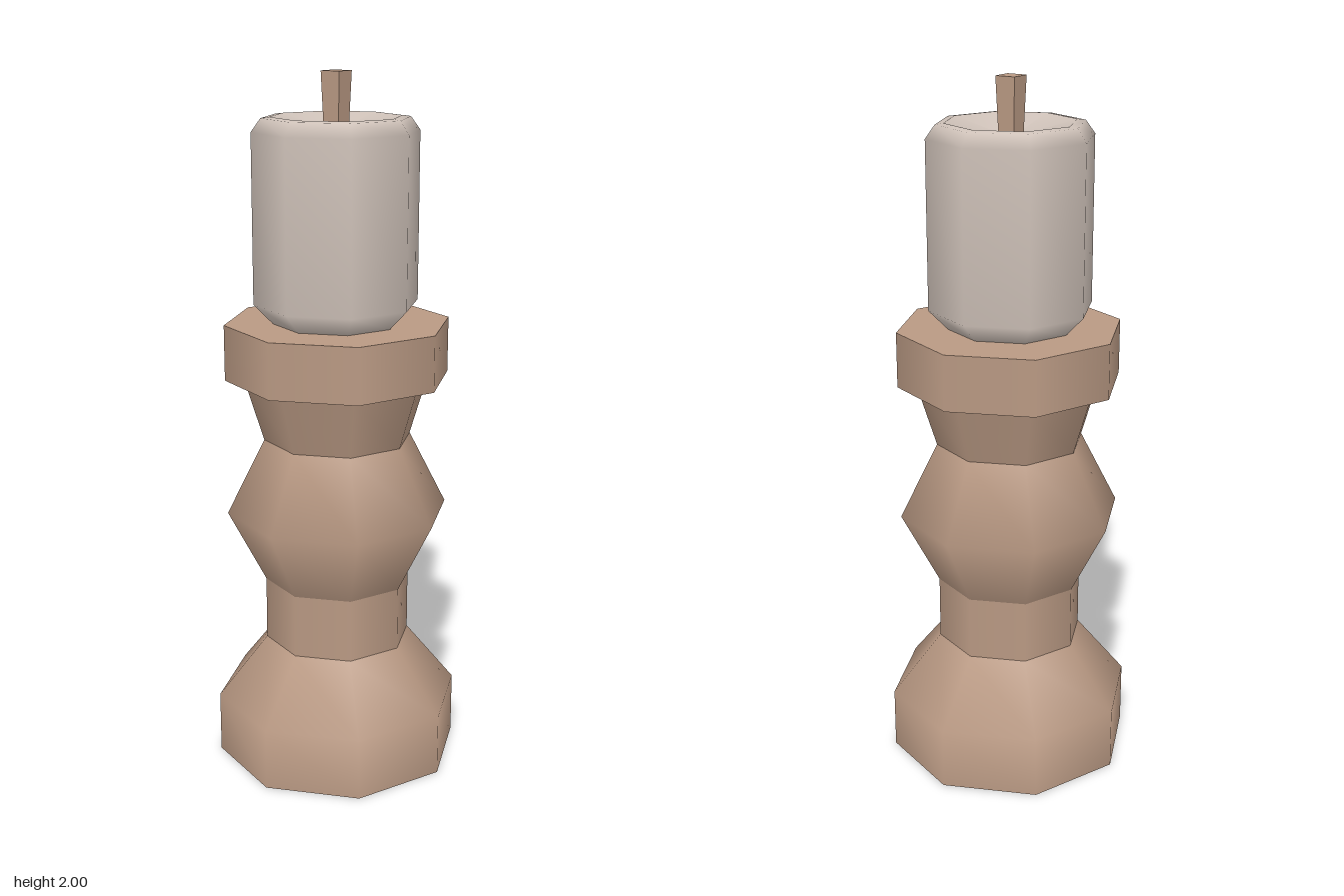
import * as THREE from 'three';

const SIDES = 8;

export function createModel() {
  const wood = new THREE.MeshStandardMaterial({ color: 0xba9a84 });
  wood.name = 'wood';
  const wax = new THREE.MeshStandardMaterial({ color: 0xcfc2b9 });
  wax.name = 'wax';

  // Each section is one lathe, smooth inside and sharp where it meets the next
  function turned(name, material, sections) {
    const group = new THREE.Group();
    group.name = name;
    sections.forEach((profile, i) => {
      const points = profile.map(([r, y]) => new THREE.Vector2(r, y));
      const mesh = new THREE.Mesh(new THREE.LatheGeometry(points, SIDES), material);
      mesh.name = `${name}Section${i + 1}`;
      group.add(mesh);
    });
    return group;
  }

  const model = new THREE.Group();
  model.name = 'candlestick';

  // Turned wooden holder, bottom to top
  model.add(
    turned('base', wood, [
      [[0, 0], [0.358, 0]],
      [[0.358, 0], [0.358, 0.18], [0.213, 0.36]],
    ]),
    turned('neck', wood, [[[0.213, 0.36], [0.213, 0.545]]]),
    turned('bulb', wood, [[[0.213, 0.545], [0.322, 0.757], [0.213, 0.973]]]),
    turned('collar', wood, [[[0.213, 0.973], [0.268, 1.153]]]),
    turned('plate', wood, [
      [[0.268, 1.153], [0.322, 1.153]],
      [[0.322, 1.153], [0.322, 1.312]],
      [[0.322, 1.312], [0, 1.312]],
    ]),
  );

  // Candle with a rounded rim and a shallow melted hollow
  const candle = new THREE.Group();
  candle.name = 'candle';
  candle.position.x = -0.006;
  candle.add(turned('waxBody', wax, [
    [[0.18, 1.312], [0.234, 1.368], [0.234, 1.84], [0.207, 1.877], [0.183, 1.88]],
    [[0.183, 1.88], [0, 1.835]],
  ]));

  // Square wick, a little wider at the top
  const wickGeometry = new THREE.CylinderGeometry(0.0424, 0.034, 0.17, 4)
    .rotateY(Math.PI / 4).toNonIndexed();
  wickGeometry.computeVertexNormals();
  const wick = new THREE.Mesh(wickGeometry, wood);
  wick.name = 'wick';
  wick.position.y = 1.915;
  candle.add(wick);
  model.add(candle);

  return model;
}
